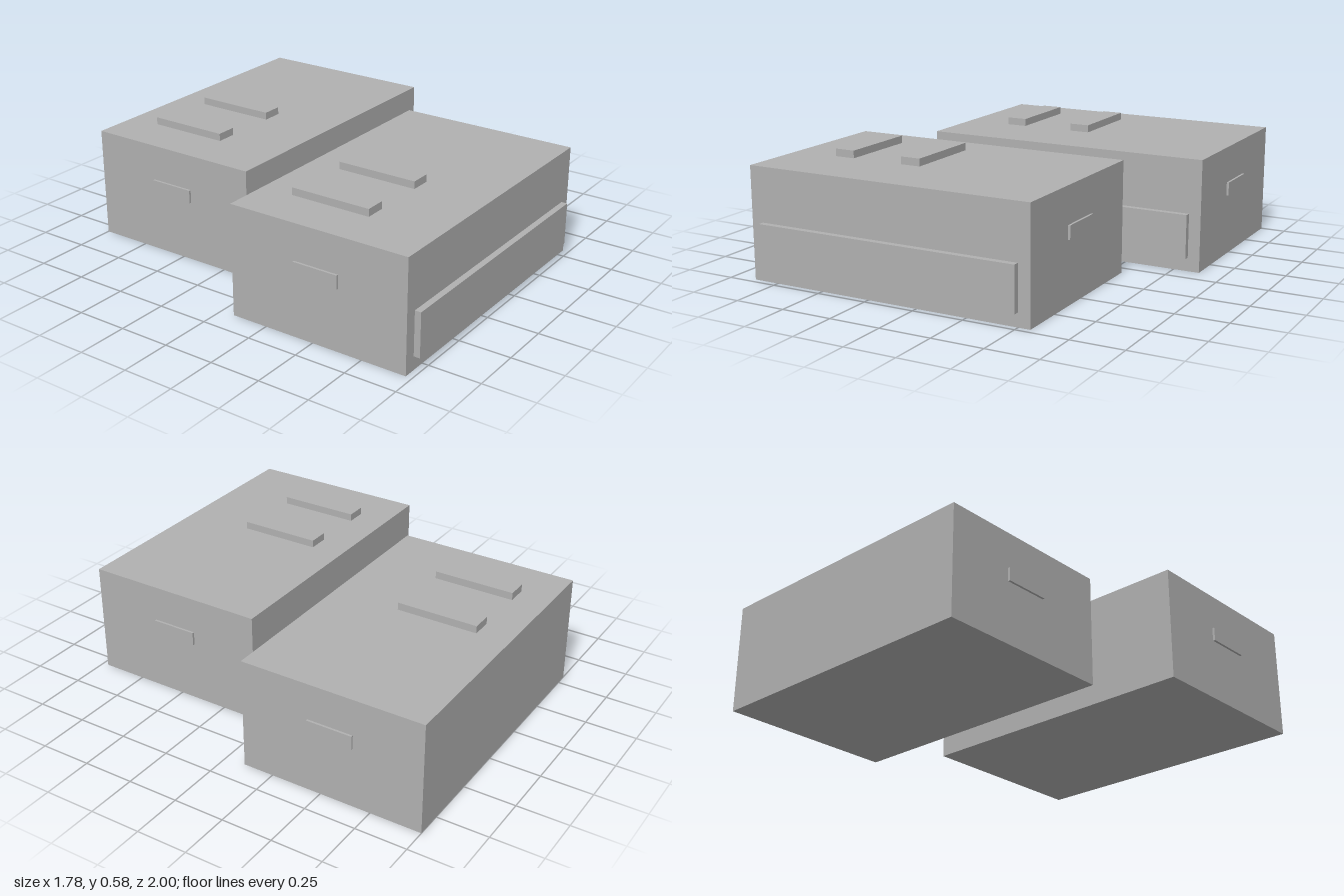
import * as THREE from 'three';

export function createModel() {
  const grey = new THREE.MeshStandardMaterial({ name: 'grey', color: 0xb0b0b0 });
  const model = new THREE.Group();
  model.name = 'crates';

  // Box given by its size and the centre of its base
  const addBox = (parent, name, [w, h, d], [x, y, z]) => {
    const mesh = new THREE.Mesh(new THREE.BoxGeometry(w, h, d), grey);
    mesh.name = name;
    mesh.position.set(x, y + h / 2, z);
    parent.add(mesh);
  };

  const createCrate = (name, x, z) => {
    const crate = new THREE.Group();
    crate.name = name;
    crate.position.set(x, 0, z);
    addBox(crate, 'body', [1.436, 0.54, 0.9], [0, 0, 0]);
    // Raised panel low on the front
    addBox(crate, 'frontPanel', [1.32, 0.213, 0.04], [0, 0.066, 0.46]);
    // Two bars on the lid, set to one side
    for (const barX of [-0.44, -0.08]) {
      addBox(crate, 'lidBar', [0.1, 0.046, 0.4], [barX, 0.53, -0.09]);
    }
    // Grips at both ends
    for (const side of [-1, 1]) {
      addBox(crate, side < 0 ? 'rightGrip' : 'leftGrip', [0.02, 0.065, 0.225], [side * 0.719, 0.3, 0]);
    }
    model.add(crate);
  };

  createCrate('frontCrate', -0.16, 0.52);
  createCrate('rearCrate', 0.16, -0.55);
  return model;
}
